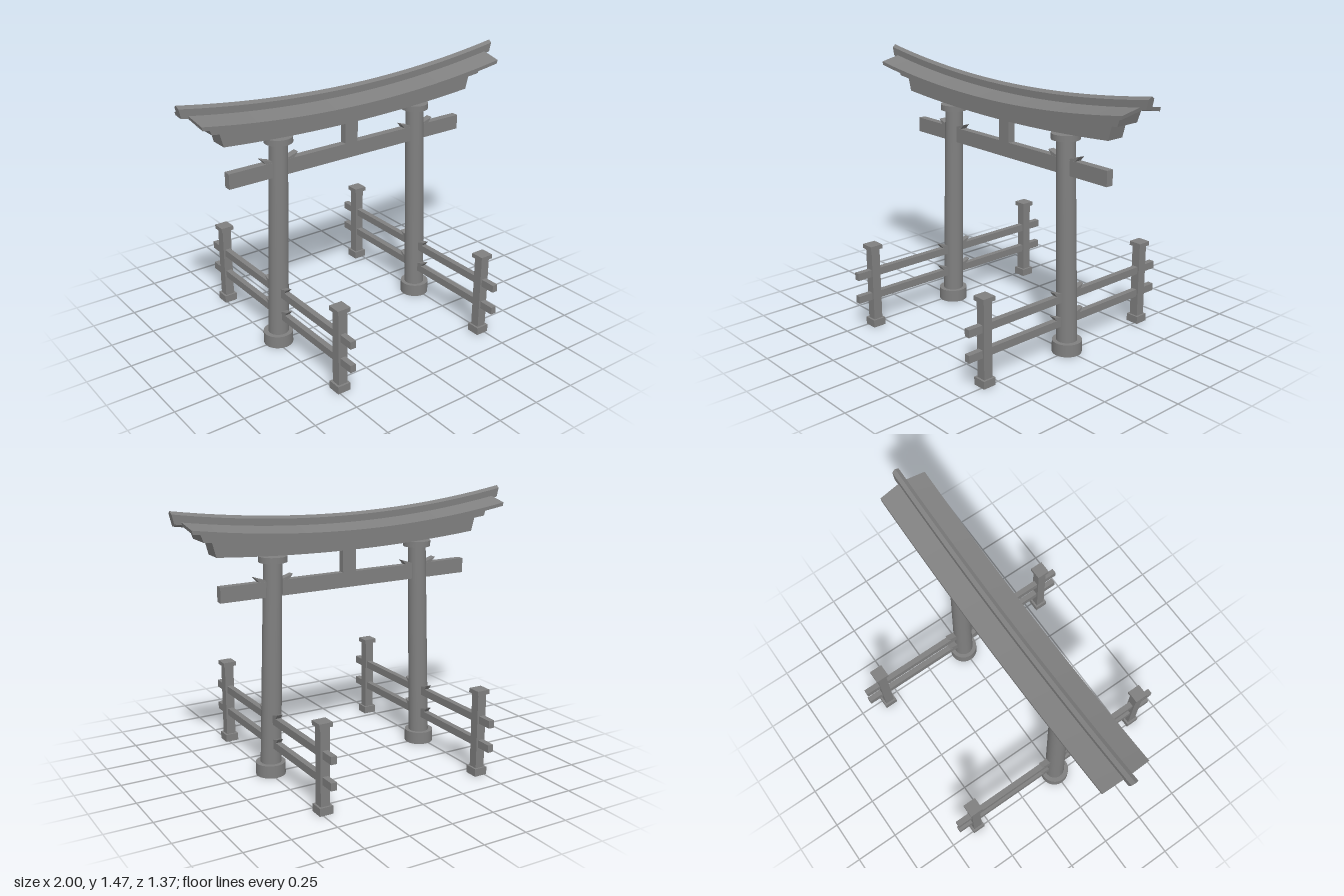
import * as THREE from 'three';
import { toCreasedNormals } from 'three/addons/utils/BufferGeometryUtils.js';

const material = new THREE.MeshStandardMaterial({ color: 0x808080 });

function add(parent, name, geometry, x = 0, y = 0, z = 0) {
  const mesh = new THREE.Mesh(geometry, material);
  mesh.name = name;
  mesh.position.set(x, y, z);
  parent.add(mesh);
  return mesh;
}

// Box given by its bottom and top heights
function block(parent, name, w, y0, y1, d, x = 0, z = 0) {
  return add(parent, name, new THREE.BoxGeometry(w, y1 - y0, d), x, (y0 + y1) / 2, z);
}

function outline(points) {
  return new THREE.Shape(points.map(([a, b]) => new THREE.Vector2(a, b)));
}

// Beam along x: section [z, y] at its raised ends, sagging to the middle.
// Sag and half length are each given as [bottom, top], so the ends lean out.
function curvedBeam(section, sag, half) {
  const geo = new THREE.ExtrudeGeometry(outline(section), { depth: 2, steps: 32, bevelEnabled: false });
  geo.translate(0, 0, -1).rotateY(Math.PI / 2);
  const heights = section.map(p => p[1]);
  const low = Math.min(...heights), high = Math.max(...heights);
  const pos = geo.attributes.position;
  for (let i = 0; i < pos.count; i++) {
    const t = pos.getX(i), y = pos.getY(i);
    const f = (y - low) / (high - low);
    pos.setX(i, t * THREE.MathUtils.lerp(half[0], half[1], f));
    pos.setY(i, y - THREE.MathUtils.lerp(sag[0], sag[1], f) * (1 - t * t));
  }
  return toCreasedNormals(geo, 0.3);
}

// Pair of wedges resting on a beam on both sides of a pillar
function wedgePair(parent, width, x, y, alongZ) {
  const pair = new THREE.Group();
  pair.name = 'wedgePair';
  const shape = outline([[0.035, -0.004], [0.082, -0.004], [0.109, 0.027], [0.035, 0.003]]);
  for (const turn of [0, Math.PI]) {
    const geo = new THREE.ExtrudeGeometry(shape, { depth: width, bevelEnabled: false });
    geo.translate(0, 0, -width / 2);
    add(pair, 'wedge', geo).rotation.y = turn;
  }
  pair.position.set(x, y, 0);
  if (alongZ) pair.rotation.y = Math.PI / 2;
  parent.add(pair);
}

// One pillar with its side fence
function createSide(side) {
  const group = new THREE.Group();
  group.name = side > 0 ? 'leftSide' : 'rightSide';
  const footX = side * 0.486, topX = side * 0.448, fenceX = side * 0.478;

  add(group, 'pillarBase', new THREE.CylinderGeometry(0.081, 0.081, 0.07, 32), footX, 0.035);
  // The shaft tapers and leans inward
  const shaft = new THREE.CylinderGeometry(0.05, 0.057, 1.16, 32);
  shaft.translate(0, 0.61, 0);
  const pos = shaft.attributes.position;
  for (let i = 0; i < pos.count; i++) {
    pos.setX(i, pos.getX(i) + THREE.MathUtils.lerp(footX, topX, pos.getY(i) / 1.2));
  }
  shaft.computeBoundingSphere();
  add(group, 'pillar', shaft);
  add(group, 'pillarCap', new THREE.CylinderGeometry(0.076, 0.076, 0.032, 32), topX, 1.186);
  wedgePair(group, 0.04, side * 0.452, 1.071, false);

  // Fence rails through the pillar
  for (const top of [0.203, 0.34]) {
    block(group, 'fenceRail', 0.032, top - 0.042, top, 1.37, fenceX);
    wedgePair(group, 0.032, fenceX, top, true);
  }
  // Fence posts with foot and cap
  for (const z of [-0.572, 0.572]) {
    block(group, 'fencePost', 0.053, 0.02, 0.475, 0.053, fenceX, z);
    block(group, 'fencePostFoot', 0.076, 0, 0.043, 0.076, fenceX, z);
    block(group, 'fencePostCap', 0.076, 0.461, 0.485, 0.076, fenceX, z);
  }
  return group;
}

export function createModel() {
  const gate = new THREE.Group();
  gate.name = 'gate';

  // Pillars, fences, straight tie beam and central strut
  const frame = new THREE.Group();
  frame.name = 'frame';
  frame.position.x = 0.004;
  frame.add(createSide(1), createSide(-1));
  block(frame, 'tieBeam', 1.51, 0.988, 1.071, 0.042);
  block(frame, 'centralStrut', 0.08, 1.06, 1.22, 0.042);
  gate.add(frame);

  // Curved lintels, stacked upward
  add(gate, 'lowerLintel', curvedBeam(
    [[-0.05, 1.231], [0.05, 1.231], [0.05, 1.33], [-0.05, 1.33]], [0.034, 0.05], [0.785, 0.812]));
  add(gate, 'upperLintel', curvedBeam(
    [[-0.07, 1.315], [0.07, 1.315], [0.07, 1.387], [0, 1.4], [-0.07, 1.387]], [0.046, 0.072], [0.857, 0.888]));

  // Shallow gabled roof and its pointed ridge
  add(gate, 'roof', curvedBeam(
    [[-0.136, 1.373], [0, 1.4], [0.136, 1.373], [0.136, 1.393], [0, 1.42], [-0.136, 1.393]], [0.074, 0.074], [0.938, 0.949]));
  add(gate, 'roofRidge', curvedBeam(
    [[-0.02, 1.409], [0.02, 1.409], [0.02, 1.459], [0, 1.473], [-0.02, 1.459]], [0.079, 0.081], [0.985, 1]));
  return gate;
}
